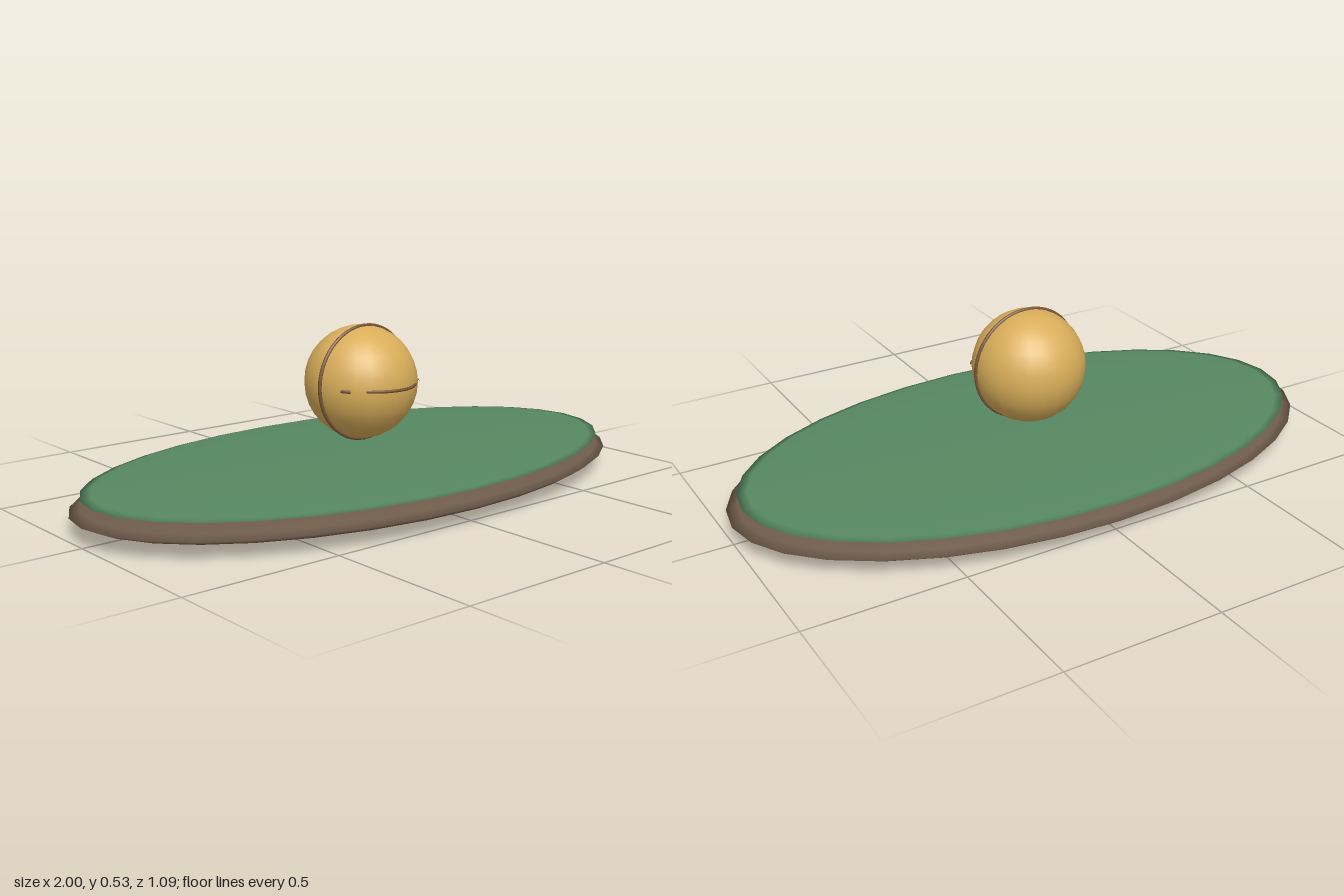
import * as THREE from 'three';

export function createModel() {
  const model = new THREE.Group();
  const mat = (name, color) => {
    const m = new THREE.MeshStandardMaterial({ color });
    m.name = name;
    return m;
  };
  const earth = mat('earth brown', 0x6e5b4a);
  const grass = mat('grass green', 0x568861);
  const gold = mat('golden', 0xd9ae5a);
  const seam = mat('seam brown', 0x7a5436);

  const add = (name, geometry, material, x, y, z) => {
    const mesh = new THREE.Mesh(geometry, material);
    mesh.name = name;
    mesh.position.set(x, y, z);
    model.add(mesh);
    return mesh;
  };
  const ellipsoid = (rx, ry, rz, w, h) => new THREE.SphereGeometry(1, w, h).scale(rx, ry, rz);

  // Flattened oval base with a thinner grassy lens on top
  add('base', ellipsoid(1, 0.057, 0.545, 32, 12), earth, 0, 0.06, 0);
  add('grassTop', ellipsoid(0.965, 0.017, 0.525, 32, 12), grass, 0, 0.105, 0);

  // Floating ball
  const ballY = 0.345;
  add('ball', ellipsoid(0.18, 0.18, 0.18, 24, 16), gold, 0, ballY, 0);

  // Upright ring around the ball
  add('ring', new THREE.TorusGeometry(0.18, 0.006, 8, 48), seam, 0, ballY, 0.018);

  // Curved line across the front, dipping into the ball, with a short stub at each end
  const strip = (name, points) => {
    const curve = new THREE.CatmullRomCurve3(points.map(([x, z]) => new THREE.Vector3(x, 0, z)));
    add(name, new THREE.TubeGeometry(curve, 16, 0.005, 8), seam, 0, ballY, 0);
  };
  strip('frontLine', [[-0.1, 0.145], [-0.055, 0.178], [0, 0.19], [0.055, 0.178], [0.1, 0.145]]);
  for (const s of [-1, 1]) {
    strip(s > 0 ? 'leftStub' : 'rightStub', [[s * 0.138, 0.115], [s * 0.148, 0.103], [s * 0.154, 0.089]]);
  }
  return model;
}
